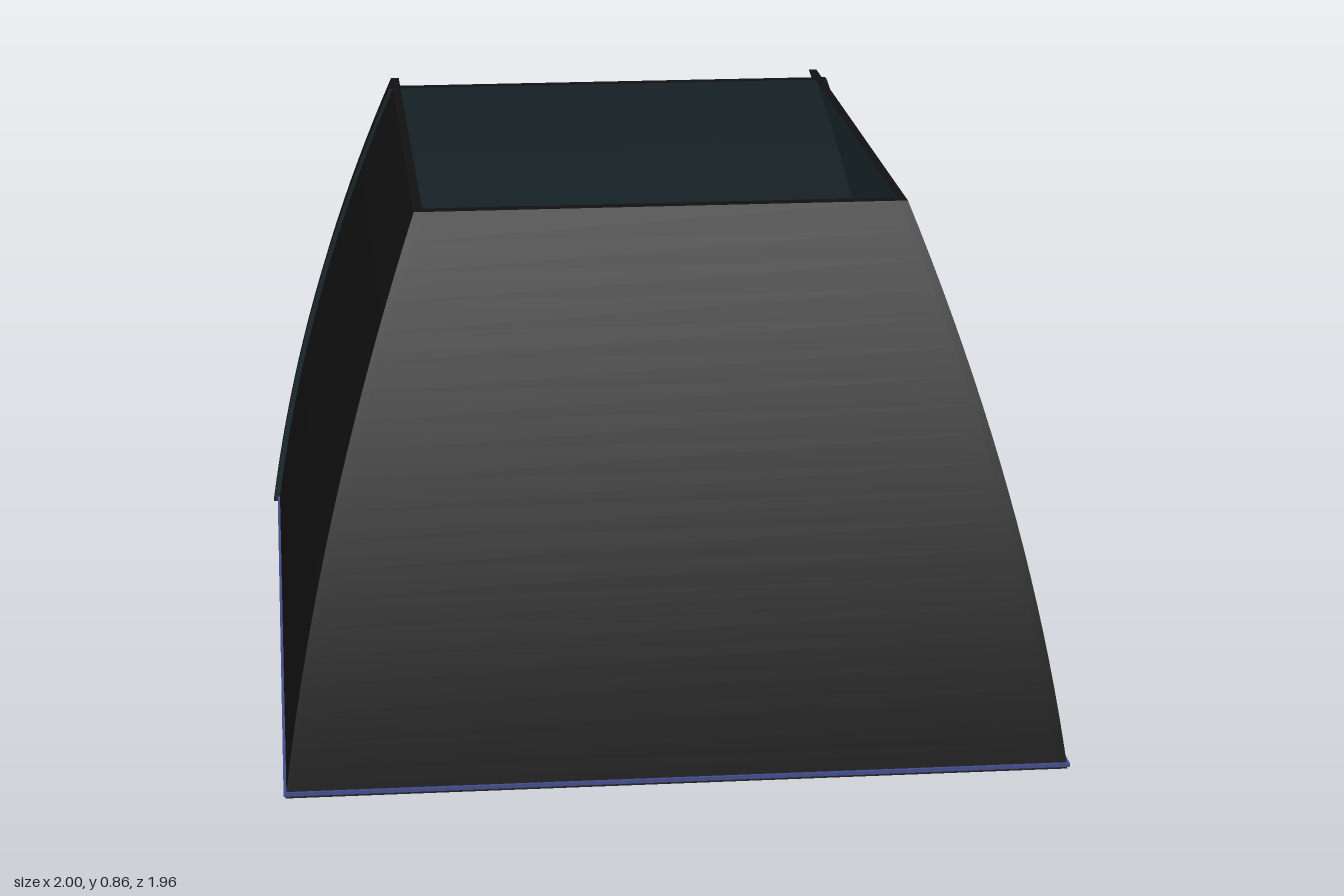
import * as THREE from 'three';

const HEIGHT = 0.855;
const HALF_LENGTH = 0.785;
const HALF_DEPTH = 0.613;

// Share of the base size left at height fraction t: the walls bow inward as they rise
const taper = (t) => 1 - 0.365 * (0.53 * t + 0.47 * t * t);

// Curved wall facing +z: half width and distance from the centre both follow the taper
function wallGeometry(halfWidth, distance, thickness) {
  const geometry = new THREE.BoxGeometry(2, 1, 1, 1, 20, 1);
  const p = geometry.attributes.position;
  for (let i = 0; i < p.count; i++) {
    const t = p.getY(i) + 0.5;
    const inward = p.getZ(i) < 0 ? thickness : 0;
    p.setXYZ(i, p.getX(i) * halfWidth * taper(t), t * HEIGHT, distance * taper(t) - inward);
  }
  geometry.computeVertexNormals();
  return geometry;
}

export function createModel() {
  const black = new THREE.MeshStandardMaterial({ color: 0x111111 });
  const slate = new THREE.MeshStandardMaterial({ color: 0x1f2d33 });
  const blue = new THREE.MeshStandardMaterial({ color: 0x424b8a });
  const red = new THREE.MeshStandardMaterial({ color: 0x8a2e2c });
  black.name = 'outerBlack';
  slate.name = 'innerSlate';
  blue.name = 'floorBlue';
  red.name = 'markerRed';

  const model = new THREE.Group();
  model.name = 'curvedShelter';

  // Rectangular shell, turned about the vertical axis
  const shell = new THREE.Group();
  shell.name = 'shell';
  shell.rotation.y = THREE.MathUtils.degToRad(140.2);
  model.add(shell);

  const floor = new THREE.Mesh(
    new THREE.BoxGeometry(HALF_LENGTH * 2 + 0.006, 0.006, HALF_DEPTH * 2 + 0.006), blue);
  floor.name = 'floor';
  floor.position.y = 0.007;
  shell.add(floor);

  // Two long walls, one flush end wall and one inset end wall; black outside, slate inside
  const walls = [
    ['longWallBack', 0, HALF_LENGTH, HALF_DEPTH, 0.014],
    ['longWallFront', Math.PI, HALF_LENGTH, HALF_DEPTH, 0.014],
    ['endWallFlush', -Math.PI / 2, HALF_DEPTH, HALF_LENGTH, 0.022],
    ['endWallInset', Math.PI / 2, HALF_DEPTH + 0.01, 0.68, 0.022],
  ];
  for (const [name, turn, halfWidth, distance, thickness] of walls) {
    const wall = new THREE.Mesh(
      wallGeometry(halfWidth, distance, thickness),
      [black, black, black, black, black, slate]);
    wall.name = name;
    wall.rotation.y = turn;
    shell.add(wall);
  }

  // Arc of tube lying in the floor, from one angle to another in degrees
  const addArc = (name, from, to, tube, material) => {
    const geometry = new THREE.TorusGeometry(
      0.432, tube, 8, 72, THREE.MathUtils.degToRad(to - from));
    geometry.rotateZ(THREE.MathUtils.degToRad(from));
    geometry.rotateX(Math.PI / 2);
    const arc = new THREE.Mesh(geometry, material);
    arc.name = name;
    arc.position.y = 0.008;
    model.add(arc);
  };
  addArc('floorRing', 57, 378, 0.007, slate);
  addArc('ringMarker', 253, 282, 0.011, red);

  // Small bar lying on the floor
  const bar = new THREE.Mesh(new THREE.BoxGeometry(0.18, 0.04, 0.05), red);
  bar.name = 'floorBar';
  bar.position.set(0.245, 0.03, -0.02);
  bar.rotation.y = THREE.MathUtils.degToRad(-23);
  model.add(bar);

  return model;
}
